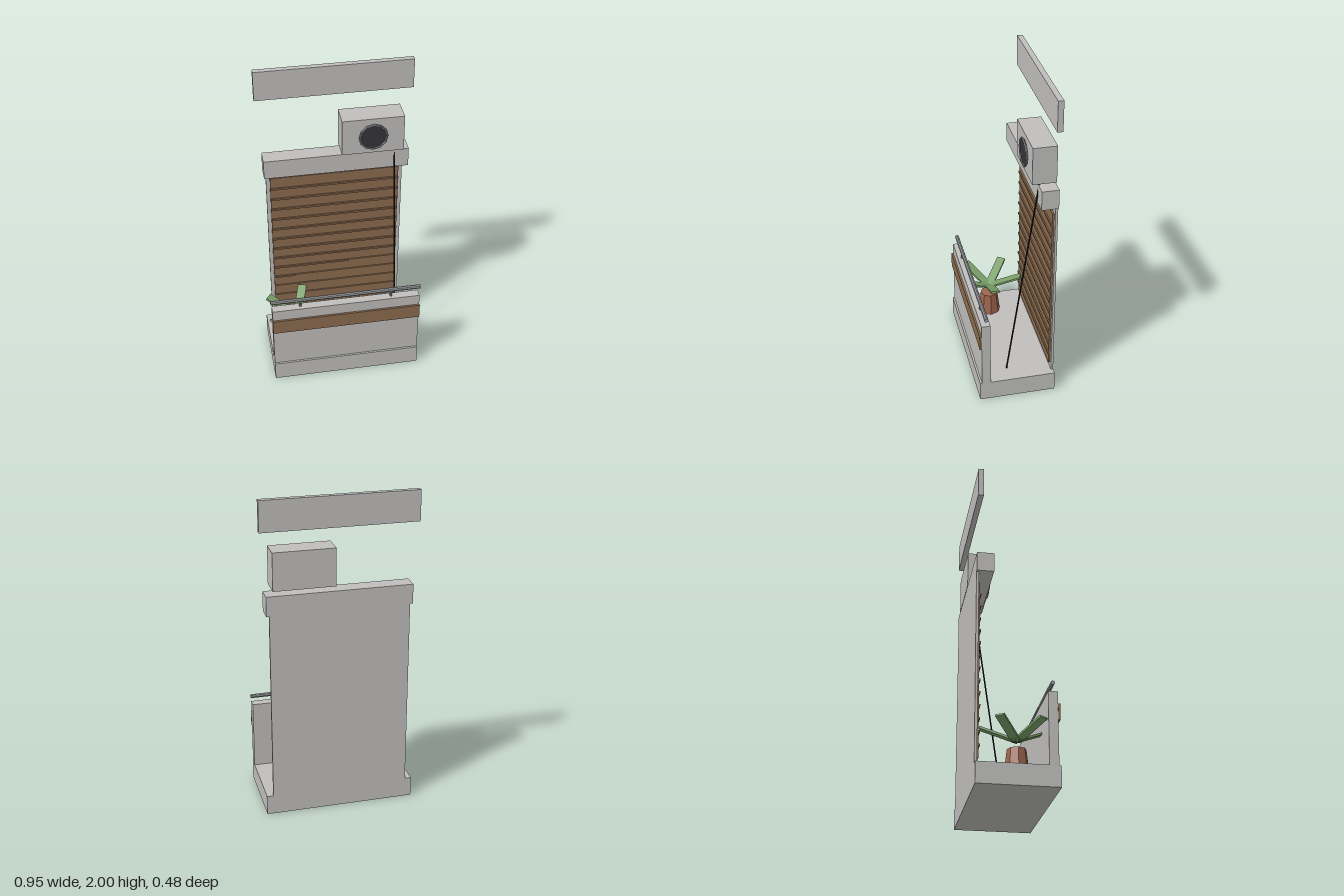
import * as THREE from 'three';

const material = (name, color, flatShading = false) => {
  const m = new THREE.MeshStandardMaterial({ color, flatShading });
  m.name = name;
  return m;
};

export function createModel() {
  const model = new THREE.Group();
  model.name = 'balcony';
  const concrete = material('concrete', 0xc0bfbd);
  const wood = material('brown wood', 0x8b6b4e);
  const metal = material('grey metal', 0x95979a, true);
  const dark = material('dark fan', 0x34343a, true);
  const black = material('black cable', 0x1a1a1a);
  const clay = material('clay', 0xa0664f, true);
  const green = material('leaf green', 0x7a9f68);

  const add = (name, geometry, mat, x, y, z, parent = model) => {
    const mesh = new THREE.Mesh(geometry, mat);
    mesh.name = name;
    mesh.position.set(x, y, z);
    parent.add(mesh);
    return mesh;
  };
  // Box given by its lower and upper limits on each axis
  const block = (name, mat, [x0, x1], [y0, y1], [z0, z1], parent = model) =>
    add(name, new THREE.BoxGeometry(x1 - x0, y1 - y0, z1 - z0), mat,
      (x0 + x1) / 2, (y0 + y1) / 2, (z0 + z1) / 2, parent);

  // Concrete shell
  block('floorSlab', concrete, [-0.465, 0.465], [0, 0.125], [-0.237, 0.238]);
  block('parapet', concrete, [-0.465, 0.465], [0.125, 0.56], [0.171, 0.226]);
  block('backWall', concrete, [-0.425, 0.425], [0.125, 1.31], [-0.237, -0.222]);
  block('lintel', concrete, [-0.442, 0.442], [1.31, 1.432], [-0.237, -0.134]);
  block('upperFascia', concrete, [-0.473, 0.473], [1.813, 2], [-0.238, -0.204]);
  block('parapetBand', wood, [-0.467, 0.467], [0.39, 0.487], [0.226, 0.238]);

  // Shutter with horizontal ribs
  const shutter = new THREE.Group();
  shutter.name = 'shutter';
  model.add(shutter);
  const bottom = 0.164, top = 1.253, slats = 14;
  block('shutterPanel', wood, [-0.401, 0.401], [bottom, top], [-0.222, -0.211], shutter);
  for (let i = 1; i < slats; i++) {
    const y = bottom + (top - bottom) * i / slats;
    block('shutterRib', wood, [-0.401, 0.401], [y - 0.006, y + 0.006], [-0.212, -0.203], shutter);
  }

  // Handrail on two short posts
  add('handrail', new THREE.CylinderGeometry(0.013, 0.013, 0.946, 8), metal, 0, 0.609, 0.197)
    .rotation.z = Math.PI / 2;
  for (const s of [-1, 1]) {
    add('railPost', new THREE.CylinderGeometry(0.008, 0.008, 0.045, 8), metal, s * 0.287, 0.58, 0.197);
  }

  // Air conditioner with a round fan
  block('airConditioner', concrete, [0.024, 0.4], [1.459, 1.691], [-0.232, -0.088]);
  add('fan', new THREE.CylinderGeometry(0.08, 0.08, 0.009, 12), dark, 0.212, 1.573, -0.0835)
    .rotation.x = Math.PI / 2;
  add('fanRing', new THREE.TorusGeometry(0.083, 0.006, 6, 12), metal, 0.212, 1.573, -0.079);

  // Cable from the air conditioner down to the floor
  const cable = new THREE.LineCurve3(
    new THREE.Vector3(0.355, 0.128, 0.047), new THREE.Vector3(0.355, 1.462, -0.145));
  add('cable', new THREE.TubeGeometry(cable, 1, 0.005, 6), black, 0, 0, 0);

  // Potted plant with five slanting leaves
  const plant = new THREE.Group();
  plant.name = 'pottedPlant';
  plant.position.set(-0.288, 0, 0.021);
  model.add(plant);
  add('pot', new THREE.CylinderGeometry(0.056, 0.073, 0.14, 8), clay, 0, 0.195, 0, plant);
  const leafGeometry = new THREE.BoxGeometry(0.228, 0.013, 0.056)
    .translate(0.114, 0, 0).rotateZ(0.4).translate(0, 0.315, 0);
  for (let i = 0; i < 5; i++) {
    add('leaf', leafGeometry, green, 0, 0, 0, plant).rotation.y = i * Math.PI * 2 / 5;
  }
  return model;
}
